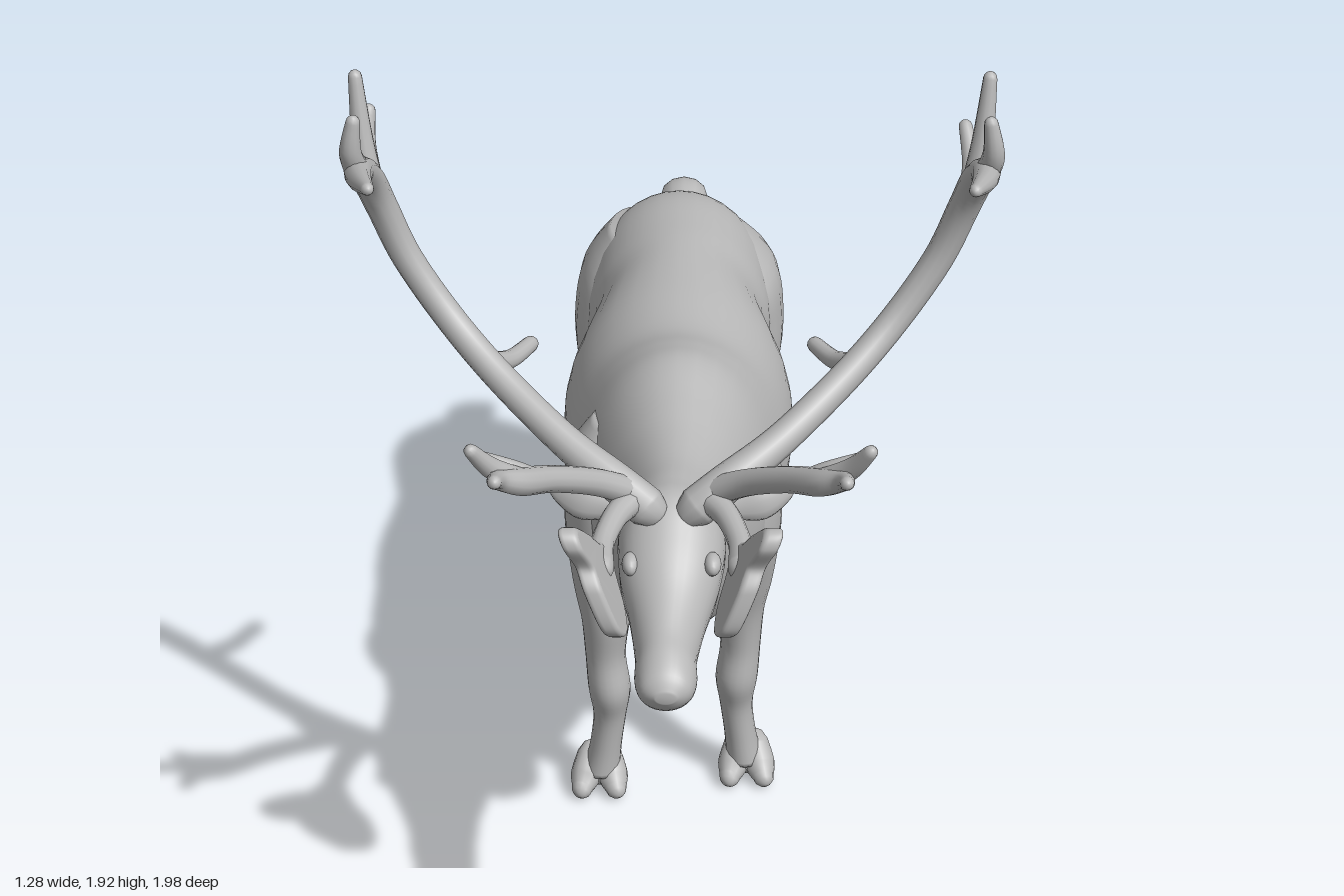
import * as THREE from 'three';
import { mergeVertices } from 'three/addons/utils/BufferGeometryUtils.js';

const grey = new THREE.MeshStandardMaterial({ color: 0xb8b8b8 });
grey.name = 'grey';
const V = (x, y, z) => new THREE.Vector3(x, y, z);

// Catmull-Rom interpolation over rows of numbers
function smooth(rows, steps) {
  const out = [], last = rows.length - 1;
  for (let i = 0; i < last; i++) {
    const a = rows[Math.max(i - 1, 0)], b = rows[i], c = rows[i + 1], d = rows[Math.min(i + 2, last)];
    for (let k = 0; k < steps; k++) {
      const t = k / steps;
      out.push(b.map((_, j) => {
        const cubic = 3 * (b[j] - c[j]) + d[j] - a[j];
        const square = 2 * a[j] - 5 * b[j] + 4 * c[j] - d[j];
        return b[j] + 0.5 * t * (c[j] - a[j] + t * (square + t * cubic));
      }));
    }
  }
  out.push(rows[last].slice());
  return out;
}

// Closed skin over a list of rings, wound outwards
function skin(rings) {
  const n = rings[0].length, pos = [], idx = [];
  rings.forEach(r => r.forEach(p => pos.push(p.x, p.y, p.z)));
  for (let i = 0; i < rings.length - 1; i++) {
    for (let j = 0; j < n; j++) {
      const a = i * n + j, b = i * n + (j + 1) % n;
      idx.push(a, b, a + n, b, b + n, a + n);
    }
  }
  [0, rings.length - 1].forEach(e => {
    const c = rings[e].reduce((s, p) => s.add(p), V(0, 0, 0)).divideScalar(n);
    const ci = pos.length / 3;
    pos.push(c.x, c.y, c.z);
    for (let j = 0; j < n; j++) {
      const a = e * n + j, b = e * n + (j + 1) % n;
      if (e === 0) idx.push(ci, b, a); else idx.push(ci, a, b);
    }
  });
  const at = i => V(pos[3 * i], pos[3 * i + 1], pos[3 * i + 2]);
  let volume = 0;
  for (let i = 0; i < idx.length; i += 3) volume += at(idx[i]).dot(at(idx[i + 1]).cross(at(idx[i + 2])));
  if (volume < 0) idx.reverse();
  const g = new THREE.BufferGeometry();
  g.setAttribute('position', new THREE.Float32BufferAttribute(pos, 3));
  g.setIndex(idx);
  g.computeVertexNormals();
  return g;
}

const circle = (n, f) => Array.from({ length: n }, (_, j) => {
  const a = (j / n) * Math.PI * 2;
  return f(Math.cos(a), Math.sin(a));
});

// Upright sections along z: [z, top, bottom, half width, height of widest point 0..1, x]
const trunk = rows => skin(smooth(rows, 5).map(([z, top, bot, half, f, x]) => {
  const mid = bot + (top - bot) * f;
  return circle(32, (c, s) => V(x + half * c, mid + s * (s > 0 ? top - mid : mid - bot), z));
}));

// Level sections down a limb: [y, x, z, rx, rz]
const limb = rows => skin(smooth(rows, 5).map(([y, x, z, rx, rz]) =>
  circle(20, (c, s) => V(x + rx * c, y, z + rz * s))));

// Tapered round-ended tube through [x, y, z, r]; flat thins it along the start axis
function horn(points, axis = V(0.3, 0.2, 0.9), flat = 1) {
  const rows = smooth(points, 6), e = rows.length - 1;
  const P = rows.map(r => V(r[0], r[1], r[2]));
  const normal = axis.clone(), rings = [];
  P.forEach((p, i) => {
    const t = P[Math.min(i + 1, e)].clone().sub(P[Math.max(i - 1, 0)]).normalize();
    normal.addScaledVector(t, -normal.dot(t)).normalize();
    const side = t.clone().cross(normal), r = rows[i][3];
    const add = (q, k) => rings.push(circle(12, (c, s) => p.clone().addScaledVector(t, q * r)
      .addScaledVector(normal, c * r * k * flat).addScaledVector(side, s * r * k)));
    if (i === 0) [[-0.95, 0.3], [-0.7, 0.7]].forEach(a => add(...a));
    add(0, 1);
    if (i === e) [[0.5, 0.87], [0.85, 0.53], [0.98, 0.2]].forEach(a => add(...a));
  });
  return skin(rings);
}

export function createModel() {
  const model = new THREE.Group();
  const part = (name, geometry, parent = model) => {
    const m = new THREE.Mesh(geometry, grey);
    m.name = name;
    parent.add(m);
    return m;
  };
  const blob = (name, parent, p, r) => {
    const m = part(name, new THREE.SphereGeometry(1, 18, 12), parent);
    m.position.set(...p);
    m.scale.set(...r);
  };

  // Rump, barrel, neck and head in one skin
  part('bodyAndHead', trunk([
    [-0.915, 0.93, 0.84, 0.04, 0.5, 0.01], [-0.895, 0.97, 0.77, 0.10, 0.5, 0.01],
    [-0.85, 1.02, 0.70, 0.155, 0.5, 0.01], [-0.75, 1.062, 0.62, 0.20, 0.5, 0.01],
    [-0.60, 1.075, 0.56, 0.212, 0.5, 0.01], [-0.48, 1.08, 0.535, 0.205, 0.48, 0.01],
    [-0.30, 1.08, 0.51, 0.255, 0.43, 0.01], [-0.12, 1.078, 0.52, 0.25, 0.42, 0.01],
    [0, 1.11, 0.535, 0.23, 0.42, 0.01], [0.1, 1.13, 0.54, 0.21, 0.42, 0.01],
    [0.22, 1.105, 0.545, 0.185, 0.45, 0.01], [0.32, 1.087, 0.58, 0.155, 0.5, 0.01],
    [0.42, 1.085, 0.64, 0.128, 0.52, 0.005], [0.52, 1.10, 0.71, 0.11, 0.55, 0],
    [0.60, 1.105, 0.78, 0.11, 0.6, 0], [0.68, 1.055, 0.80, 0.10, 0.6, -0.003],
    [0.757, 0.997, 0.81, 0.078, 0.55, -0.006], [0.84, 0.955, 0.795, 0.062, 0.5, -0.01],
    [0.90, 0.935, 0.795, 0.062, 0.48, -0.01], [0.945, 0.91, 0.825, 0.05, 0.5, -0.01],
    [0.967, 0.88, 0.855, 0.02, 0.5, -0.01],
  ]));

  // Thin fold under the throat
  part('dewlap', trunk([
    [0.24, 0.66, 0.57, 0.03, 0.7, 0], [0.33, 0.68, 0.575, 0.04, 0.75, 0],
    [0.44, 0.74, 0.55, 0.035, 0.8, 0], [0.49, 0.77, 0.58, 0.03, 0.8, 0],
    [0.55, 0.81, 0.65, 0.03, 0.7, 0], [0.61, 0.84, 0.755, 0.02, 0.6, 0],
  ]));

  part('tail', horn([[0.02, 0.985, -0.83, 0.05], [0.02, 0.99, -0.88, 0.055], [0.02, 0.965, -0.925, 0.05],
    [0.02, 0.93, -0.965, 0.032]], V(0, 1, 0), 0.8));

  // Hooves: two toes, two rear claws and a heel
  function hoof(group, x, z) {
    [-1, 1].forEach(k => {
      part('toe', horn([[x + k * 0.018, 0.075, z - 0.015, 0.032], [x + k * 0.03, 0.04, z + 0.02, 0.035],
        [x + k * 0.038, 0.025, z + 0.05, 0.024]]), group);
      blob('dewclaw', group, [x + k * 0.026, 0.035, z - 0.04], [0.022, 0.032, 0.022]);
    });
    blob('heel', group, [x, 0.045, z - 0.01], [0.045, 0.042, 0.05]);
  }

  [[1, 'left'], [-1, 'right']].forEach(([s, name]) => {
    const group = label => {
      const g = new THREE.Group();
      g.name = name + label;
      model.add(g);
      return g;
    };

    // Front leg, with the right one set a little forward
    const fz = s > 0 ? 0 : 0.045, front = group('FrontLeg');
    part('frontLegShape', limb([
      [0.98, s * 0.12, 0.09, 0.05, 0.06], [0.88, s * 0.14, 0.1, 0.09, 0.12],
      [0.72, s * 0.148, 0.1, 0.088, 0.125], [0.58, s * 0.15, 0.085 + fz * 0.5, 0.072, 0.09],
      [0.48, s * 0.148, 0.075 + fz, 0.055, 0.068], [0.38, s * 0.15, 0.072 + fz, 0.045, 0.056],
      [0.29, s * 0.142, 0.078 + fz, 0.047, 0.056], [0.21, s * 0.142, 0.068 + fz, 0.037, 0.043],
      [0.12, s * 0.152, 0.062 + fz, 0.036, 0.042], [0.05, s * 0.162, 0.055 + fz, 0.042, 0.05],
    ]), front);
    hoof(front, s * 0.167, 0.055 + fz);

    // Hind leg, with the right one stepping forward
    const h = s > 0 ? 0 : 1, hind = group('HindLeg');
    part('hindLegShape', limb([
      [1.0, s * 0.09, -0.72, 0.06, 0.09], [0.9, s * 0.125 + 0.01, -0.715, 0.10, 0.17],
      [0.78, s * 0.14 + 0.01, -0.72 + h * 0.02, 0.105, 0.175], [0.66, s * 0.145 + 0.01, -0.71 + h * 0.03, 0.092, 0.15],
      [0.57, s * 0.145, -0.735 + h * 0.045, 0.068, 0.108], [0.48, s * 0.14, -0.81 + h * 0.07, 0.048, 0.078],
      [0.41, s * 0.138, -0.835 + h * 0.075, 0.042, 0.063], [0.32, s * 0.138, -0.84 + h * 0.085, 0.036, 0.048],
      [0.2, s * 0.142, -0.838 + h * 0.095, 0.035, 0.042], [0.11, s * 0.147, -0.83 + h * 0.115, 0.037, 0.043],
      [0.05, s * 0.152, -0.825 + h * 0.125, 0.042, 0.052],
    ]), hind);
    hoof(hind, s * 0.157, -0.825 + h * 0.125);

    // Ear and eye
    part(name + 'Ear', horn([[s * 0.08, 1.06, 0.59, 0.02], [s * 0.13, 1.07, 0.58, 0.033],
      [s * 0.18, 1.078, 0.57, 0.044], [s * 0.225, 1.09, 0.555, 0.028], [s * 0.243, 1.097, 0.55, 0.012]],
    V(0, 0.25, 1), 0.45));
    blob(name + 'Eye', model, [s * 0.082, 1.0, 0.69], [0.018, 0.022, 0.03]);

    // Antler: beam, crown points, forward branch and brow palm
    const antler = group('Antler');
    const tine = (label, pts) => part(label, horn(pts.map(([x, y, z, r]) => [s * x, y, z, r])), antler);
    tine('beam', [[0.05, 1.09, 0.62, 0.042], [0.11, 1.135, 0.60, 0.04], [0.22, 1.195, 0.53, 0.034],
      [0.35, 1.275, 0.42, 0.032], [0.45, 1.365, 0.345, 0.031], [0.535, 1.49, 0.315, 0.031],
      [0.58, 1.61, 0.325, 0.032], [0.602, 1.70, 0.37, 0.033], [0.61, 1.765, 0.46, 0.03],
      [0.60, 1.80, 0.56, 0.024], [0.575, 1.838, 0.67, 0.013]]);
    tine('crownPoint', [[0.608, 1.765, 0.47, 0.026], [0.62, 1.83, 0.51, 0.022], [0.612, 1.9, 0.515, 0.014]]);
    tine('crownPoint', [[0.60, 1.69, 0.365, 0.028], [0.612, 1.78, 0.35, 0.022], [0.622, 1.905, 0.33, 0.014]]);
    tine('crownPoint', s > 0
      ? [[0.59, 1.64, 0.335, 0.026], [0.6, 1.67, 0.26, 0.02], [0.59, 1.725, 0.185, 0.014]]
      : [[0.595, 1.66, 0.35, 0.026], [0.61, 1.73, 0.29, 0.02], [0.605, 1.795, 0.26, 0.014]]);
    tine('backPoint', [[0.38, 1.29, 0.39, 0.024], [0.335, 1.255, 0.32, 0.02], [0.295, 1.245, 0.24, 0.017]]);
    tine('forwardBranch', [[0.08, 1.12, 0.61, 0.03], [0.15, 1.175, 0.66, 0.028], [0.23, 1.24, 0.75, 0.027],
      [0.29, 1.285, 0.83, 0.028], [0.33, 1.32, 0.88, 0.02], [0.335, 1.35, 0.935, 0.014]]);
    tine('forwardPoint', [[0.29, 1.28, 0.82, 0.026], [0.345, 1.335, 0.86, 0.021], [0.38, 1.395, 0.895, 0.014]]);
    tine('forwardPoint', [[0.26, 1.26, 0.79, 0.024], [0.305, 1.3, 0.81, 0.019], [0.375, 1.335, 0.82, 0.014]]);
    tine('browStem', [[0.07, 1.11, 0.61, 0.032], [0.11, 1.11, 0.68, 0.026], [0.135, 1.105, 0.77, 0.024],
      [0.14, 1.10, 0.85, 0.03]]);

    // Flat palm: outline in z and y, leaning outwards with height
    const outline = new THREE.Shape();
    outline.moveTo(0.76, 1.10);
    outline.splineThru([[0.83, 1.135], [0.88, 1.19], [0.945, 1.245], [0.97, 1.225], [0.945, 1.165], [0.968, 1.12],
      [0.972, 1.04], [0.93, 1.005], [0.87, 1.02], [0.82, 1.07], [0.76, 1.10]].map(p => new THREE.Vector2(...p)));
    const slab = new THREE.ExtrudeGeometry(outline, { depth: 0.016, steps: 1, curveSegments: 40,
      bevelEnabled: true, bevelThickness: 0.011, bevelSize: 0.008, bevelSegments: 3 });
    slab.deleteAttribute('uv').deleteAttribute('normal');
    const palm = mergeVertices(slab).rotateY(-Math.PI / 2);
    const p = palm.attributes.position;
    for (let i = 0; i < p.count; i++) p.setX(i, p.getX(i) + 0.008 + s * (0.14 + (p.getY(i) - 1.1) * 0.38));
    palm.computeVertexNormals();
    part('browPalm', palm, antler);
  });

  return model;
}
